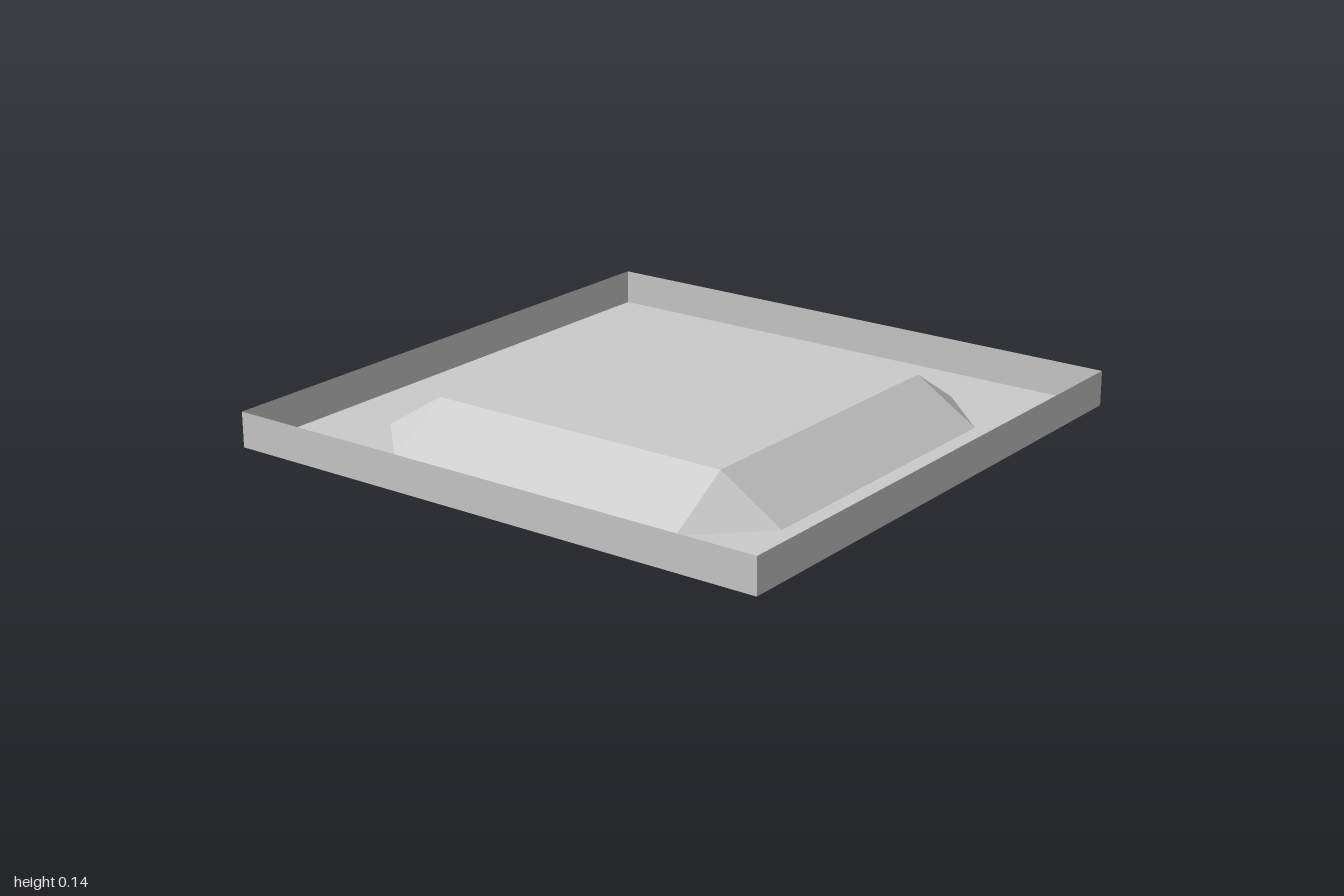
import * as THREE from 'three';

const TOP = 5 / 9;      // half width of the raised top
const FOOT = 7 / 9;     // half width where the slopes meet the floor
const RISE = 0.139;     // height of the raised top
const WALL = 0.121;     // height of the outer walls

export function createModel() {
  const group = new THREE.Group();
  const material = new THREE.MeshStandardMaterial({
    color: 0xcccccc, flatShading: true, side: THREE.DoubleSide,
  });
  const add = (name, geometry, parent = group) => {
    const mesh = new THREE.Mesh(geometry, material);
    mesh.name = name;
    parent.add(mesh);
    return mesh;
  };
  // Flat convex panel from corners listed counter-clockwise
  const panel = (...corners) => {
    const index = [];
    for (let i = 1; i < corners.length - 1; i++) index.push(0, i, i + 1);
    const geometry = new THREE.BufferGeometry();
    geometry.setAttribute('position', new THREE.Float32BufferAttribute(corners.flat(), 3));
    geometry.setIndex(index);
    geometry.computeVertexNormals();
    return geometry;
  };

  // Floor: square sheet with an eight-sided opening under the raised middle
  const floor = new THREE.Shape([[-1, -1], [1, -1], [1, 1], [-1, 1]].map(p => new THREE.Vector2(...p)));
  floor.holes.push(new THREE.Path([
    [TOP, FOOT], [FOOT, TOP], [FOOT, -TOP], [TOP, -FOOT],
    [-TOP, -FOOT], [-FOOT, -TOP], [-FOOT, TOP], [-TOP, FOOT],
  ].map(p => new THREE.Vector2(...p))));
  add('floor', new THREE.ShapeGeometry(floor).rotateX(-Math.PI / 2));

  // Raised flat top, hollow underneath
  add('raisedTop', new THREE.PlaneGeometry(2 * TOP, 2 * TOP).rotateX(-Math.PI / 2).translate(0, RISE, 0));

  // Each side: thin outer wall, slope and bevelled corner
  ['front', 'left', 'back', 'right'].forEach((label, i) => {
    const side = new THREE.Group();
    side.name = label + 'Side';
    side.rotation.y = i * Math.PI / 2;
    group.add(side);
    add('wall', panel([-1, 0, 1], [1, 0, 1], [1, WALL, 1], [-1, WALL, 1]), side);
    add('slope', panel([-TOP, 0, FOOT], [TOP, 0, FOOT], [TOP, RISE, TOP], [-TOP, RISE, TOP]), side);
    add('cornerBevel', panel([TOP, 0, FOOT], [FOOT, 0, TOP], [TOP, RISE, TOP]), side);
  });

  return group;
}
